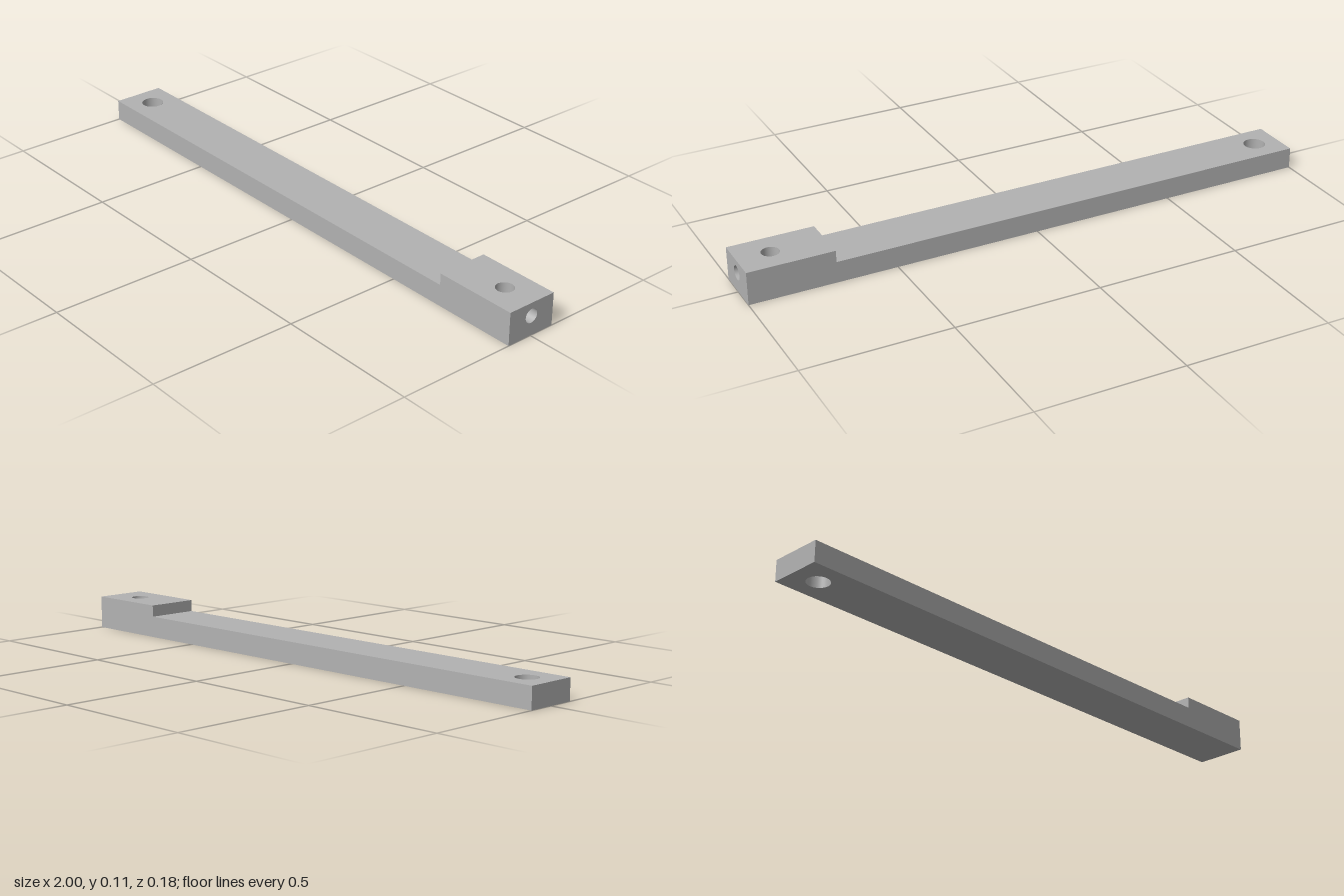
import * as THREE from 'three';
import { ParametricGeometry } from 'three/addons/geometries/ParametricGeometry.js';

const HALF = 0.09;                                     // half width of the bar
const BAR_TOP = 0.073, BLOCK_TOP = 0.113, STEP_X = 0.707;
const PIN = { x: -0.91, r: 0.038 };                    // hole right through the bar
const BORE = { x: 0.888, r: 0.03, floor: 0.023 };      // blind hole in the block
const PORT = { y: 0.068, r: 0.024 };                   // end hole meeting the bore

function rect(x0, x1, y0, y1, hole) {
  const s = new THREE.Shape([[x0, y0], [x1, y0], [x1, y1], [x0, y1]].map(p => new THREE.Vector2(...p)));
  if (hole) s.holes.push(new THREE.Path().absarc(hole.x, hole.y, hole.r, 0, Math.PI * 2, true));
  return s;
}

export function createModel() {
  const group = new THREE.Group();
  const grey = new THREE.MeshStandardMaterial({ color: 0xb2b2b2, side: THREE.DoubleSide });
  grey.name = 'grey metal';

  const add = (name, geo, x = 0, y = 0, z = 0) => {
    const mesh = new THREE.Mesh(geo, grey);
    mesh.name = name;
    mesh.position.set(x, y, z);
    group.add(mesh);
  };
  const face = shape => new THREE.ShapeGeometry(shape, 32);
  const up = shape => face(shape).rotateX(-Math.PI / 2);
  const pin = { x: PIN.x, y: 0, r: PIN.r };
  const bore = { x: BORE.x, y: 0, r: BORE.r };

  // Stepped side faces
  const profile = new THREE.Shape([
    [-1, 0], [1, 0], [1, BLOCK_TOP], [STEP_X, BLOCK_TOP], [STEP_X, BAR_TOP], [-1, BAR_TOP],
  ].map(p => new THREE.Vector2(...p)));
  add('frontSide', face(profile), 0, 0, HALF);
  add('backSide', face(profile).scale(-1, 1, 1).rotateY(Math.PI).scale(1, 1, 1), 0, 0, -HALF);

  // Horizontal faces
  add('barTop', up(rect(-1, STEP_X, -HALF, HALF, pin)), 0, BAR_TOP);
  add('blockTop', up(rect(STEP_X, 1, -HALF, HALF, bore)), 0, BLOCK_TOP);
  add('underside', face(rect(-1, 1, -HALF, HALF, pin)).rotateX(Math.PI / 2));

  // End faces and step
  add('leftEnd', face(rect(-HALF, HALF, 0, BLOCK_TOP, { x: 0, ...PORT })).rotateY(Math.PI / 2), 1);
  add('rightEnd', face(rect(-HALF, HALF, 0, BAR_TOP)).rotateY(-Math.PI / 2), -1);
  add('step', face(rect(-HALF, HALF, BAR_TOP, BLOCK_TOP)).rotateY(-Math.PI / 2), STEP_X);

  // Walls and floor of the vertical holes
  add('pinHole', new THREE.CylinderGeometry(PIN.r, PIN.r, BAR_TOP, 32, 1, true), PIN.x, BAR_TOP / 2);
  add('boreFloor', new THREE.CircleGeometry(BORE.r, 32).rotateX(-Math.PI / 2), BORE.x, BORE.floor);

  // Bore wall in two bands that part around the end hole
  for (const side of [-1, 1]) {
    const edge = side < 0 ? BORE.floor : BLOCK_TOP;
    add(side < 0 ? 'boreWallLower' : 'boreWallUpper', new ParametricGeometry((u, v, p) => {
      const a = u * Math.PI * 2, z = BORE.r * Math.sin(a);
      const gap = Math.cos(a) > 0 ? Math.sqrt(Math.max(0, PORT.r ** 2 - z * z)) : 0;
      p.set(BORE.x + BORE.r * Math.cos(a), THREE.MathUtils.lerp(edge, PORT.y + side * gap, v), z);
    }, 96, 1));
  }

  // End hole running in to the bore
  add('endHole', new ParametricGeometry((u, v, p) => {
    const a = u * Math.PI * 2, z = PORT.r * Math.cos(a);
    const inner = BORE.x + Math.sqrt(BORE.r ** 2 - z * z);
    p.set(THREE.MathUtils.lerp(inner, 1, v), PORT.y + PORT.r * Math.sin(a), z);
  }, 48, 1));

  return group;
}
